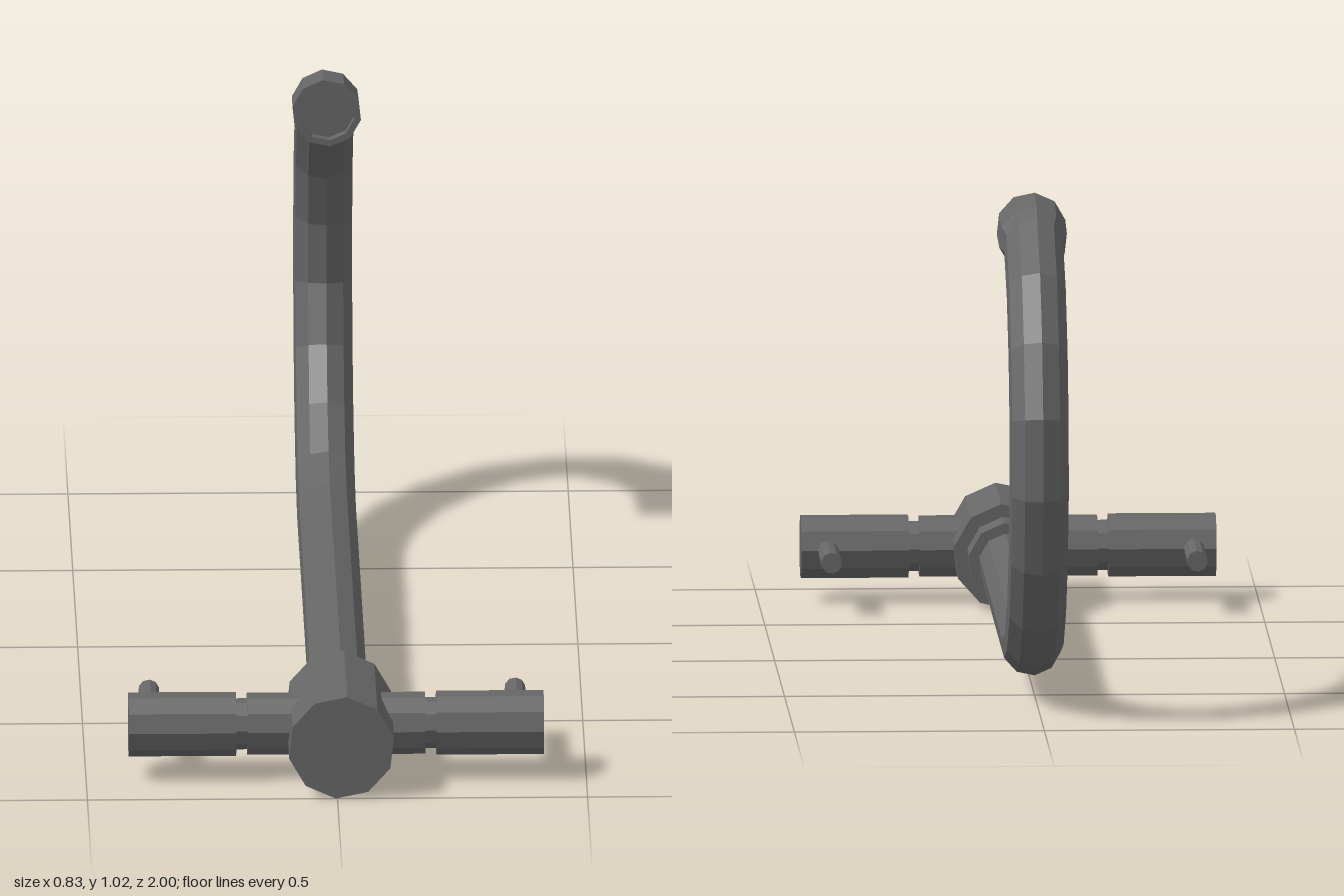
import * as THREE from 'three';

const SIDES = 10;
const TURN = Math.PI / 15; // twist of the facets around the main axis
const CX = 0.008, CY = 0.108, HANDLE_Z = 0.845;

const metal = new THREE.MeshStandardMaterial({ color: 0x666666, flatShading: true });

function part(name, geometry) {
  const mesh = new THREE.Mesh(geometry, metal);
  mesh.name = name;
  return mesh;
}

// Faceted rod along z between two z positions
function rodZ(name, r, z0, z1, x, y, sides = SIDES) {
  const g = new THREE.CylinderGeometry(r, r, z1 - z0, sides, 1, false, Math.PI / 6);
  g.rotateX(Math.PI / 2).translate(x, y, (z0 + z1) / 2);
  return part(name, g);
}

// Faceted rod along x between two x positions
function rodX(name, r, x0, x1) {
  const g = new THREE.CylinderGeometry(r, r, x1 - x0, SIDES);
  g.rotateZ(-Math.PI / 2).translate((x0 + x1) / 2, 0.11, HANDLE_Z);
  return part(name, g);
}

// Skin over rings in the yz plane: [z, y, radius, heading], heading 0 = -z, PI = +z
function sweep(rings) {
  const pos = [], index = [];
  for (const [z, y, r, h] of rings) {
    for (let j = 0; j < SIDES; j++) {
      const a = TURN + (j / SIDES) * Math.PI * 2;
      const v = r * Math.sin(a);
      pos.push(CX + r * Math.cos(a), y + v * Math.cos(h), z + v * Math.sin(h));
    }
  }
  for (let i = 0; i < rings.length - 1; i++) {
    for (let j = 0; j < SIDES; j++) {
      const k = (j + 1) % SIDES;
      const a = i * SIDES + j, b = i * SIDES + k;
      const c = a + SIDES, d = b + SIDES;
      index.push(a, c, b, b, c, d);
    }
  }
  const g = new THREE.BufferGeometry();
  g.setAttribute('position', new THREE.Float32BufferAttribute(pos, 3));
  g.setIndex(index);
  const flat = g.toNonIndexed();
  flat.computeVertexNormals();
  return flat;
}

// Long spout: straight pipe, hooked bend, flared nozzle with a recessed outlet
function spoutGeometry() {
  const R = 0.06;
  const path = [
    [0.65, 0.108], [-0.545, 0.108], [-0.685, 0.142], [-0.808, 0.222], [-0.895, 0.335],
    [-0.941, 0.47], [-0.933, 0.615], [-0.882, 0.745], [-0.79, 0.855], [-0.655, 0.931],
  ];
  const rings = path.map(([z, y], i) => {
    if (i === 0) return [z, y, R, 0];
    const p = path[i - 1], n = path[i + 1] || [-0.525, 0.95];
    // bisect the headings of the two neighbouring segments
    const h0 = Math.atan2(y - p[1], p[0] - z);
    const h1 = Math.atan2(n[1] - y, z - n[0]);
    return [z, y, R, (h0 + h1) / 2];
  });
  const end = Math.PI;
  rings.push(
    [-0.63, 0.938, 0.069, end - 0.1],
    [-0.525, 0.95, 0.07, end],
    [-0.525, 0.95, 0.057, end],
    [-0.555, 0.947, 0.057, end],
    [-0.555, 0.947, 0, end],
  );
  return sweep(rings);
}

// Side valve: sleeve, narrow gap, handle barrel and lever
function valve(side, leverX) {
  const group = new THREE.Group();
  group.name = side > 0 ? 'leftValve' : 'rightValve';
  const span = (name, r, a, b) =>
    group.add(rodX(name, r, Math.min(side * a, side * b), Math.max(side * a, side * b)));
  span('sleeve', 0.062, 0.03, 0.178);
  span('gapRing', 0.051, 0.17, 0.21);
  span('handle', 0.064, 0.2, 0.415);
  group.add(rodZ('lever', 0.021, 0.615, 0.83, leverX, 0.109));
  return group;
}

export function createModel() {
  const model = new THREE.Group();
  model.name = 'tap';
  model.add(
    rodZ('body', 0.107, 0.7, 1, CX, CY),
    rodZ('collar', 0.081, 0.613, 0.72, CX, CY),
    part('spout', spoutGeometry()),
    valve(1, 0.362),
    valve(-1, -0.37),
  );
  return model;
}
